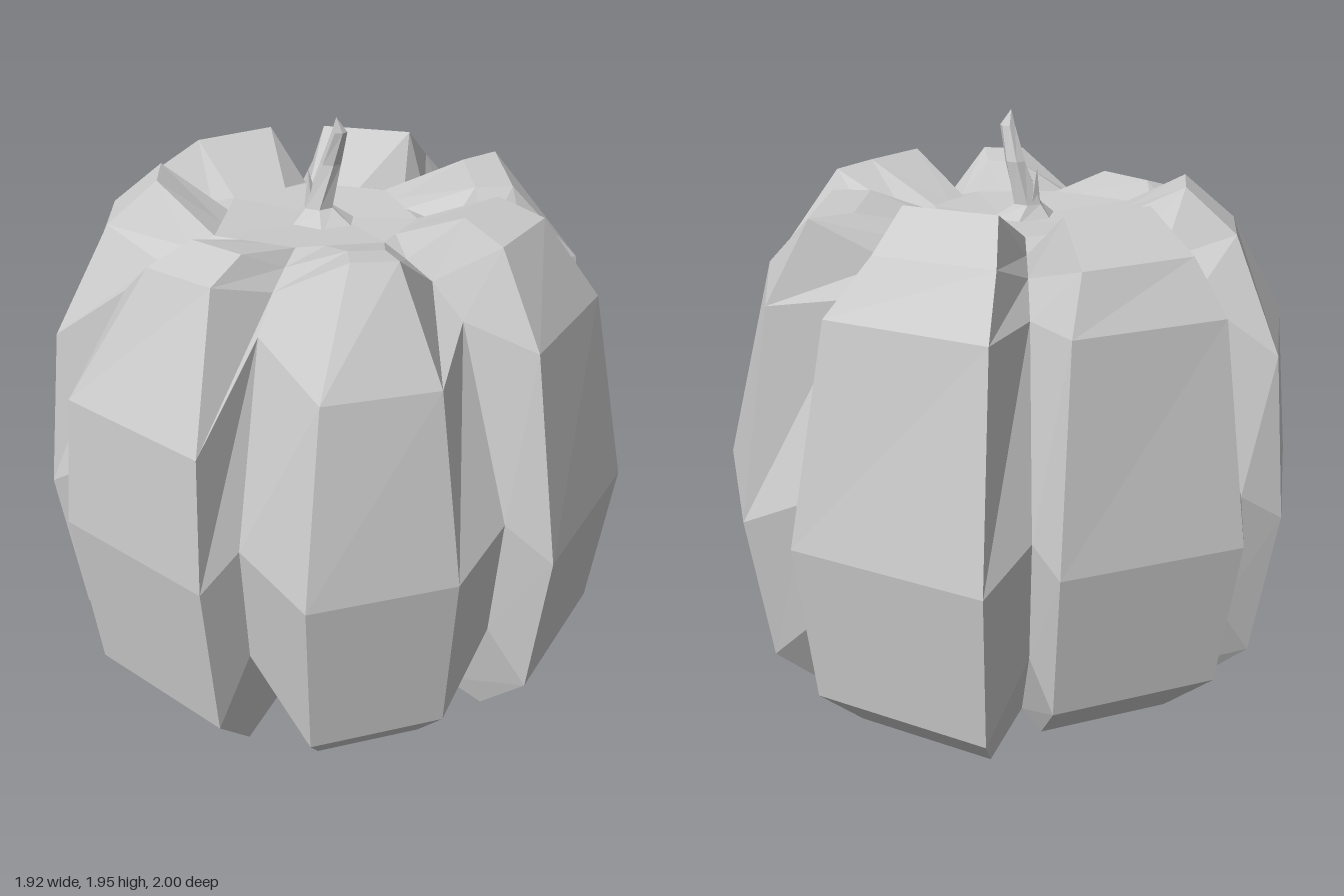
import * as THREE from 'three';

const material = new THREE.MeshStandardMaterial({ color: 0xcccccc, flatShading: true });

// One entry per lobe, counter-clockwise from the front. Pairs are [x, z].
// belly: widest ridge points, crest: upper edge, groove / inner: valley after the lobe,
// y: heights of shoulder, crest and rim
const lobes = [
  { belly: [[-0.05, 1.0], [0.4, 0.83]], crest: [[0.06, 0.65], [0.2, 0.63]], groove: [0.54, 0.64], inner: [0.15, 0.27], y: [1.36, 1.7, 1.68] },
  { belly: [[0.69, 0.7], [0.96, 0.12]], crest: [[0.5, 0.48], [0.64, 0.22]], groove: [0.84, 0.03], inner: [0.25, 0.05], y: [1.41, 1.69, 1.74] },
  { belly: [[0.96, -0.13], [0.72, -0.66]], crest: [[0.56, -0.08], [0.52, -0.46]], groove: [0.5, -0.68], inner: [0.14, -0.23], y: [1.44, 1.69, 1.69] },
  { belly: [[0.51, -0.81], [-0.13, -1.0]], crest: [[0.28, -0.61], [-0.11, -0.69]], groove: [-0.24, -0.82], inner: [-0.12, -0.29], y: [1.46, 1.63, 1.75] },
  { belly: [[-0.33, -0.85], [-0.85, -0.53]], crest: [[-0.35, -0.66], [-0.65, -0.44]], groove: [-0.83, -0.38], inner: [-0.36, -0.12], y: [1.46, 1.63, 1.75] },
  { belly: [[-0.96, -0.3], [-0.96, 0.27]], crest: [[-0.76, -0.1], [-0.74, 0.13]], groove: [-0.83, 0.36], inner: [-0.38, 0.24], y: [1.27, 1.61, 1.75] },
  { belly: [[-0.85, 0.53], [-0.37, 0.92]], crest: [[-0.55, 0.49], [-0.34, 0.64]], groove: [-0.26, 0.83], inner: [-0.12, 0.33], y: [1.18, 1.61, 1.66] },
];

const mix = (a, b, t) => [a[0] + (b[0] - a[0]) * t, a[1] + (b[1] - a[1]) * t];
const at = ([x, z], scale, y) => new THREE.Vector3(x * scale, y, z * scale);

// Closed faceted skin over columns of points that run from bottom to top
function skin(columns) {
  const positions = [];
  const triangle = (a, b, c) => {
    const area = b.clone().sub(a).cross(c.clone().sub(a)).length();
    if (area > 1e-7) for (const p of [a, b, c]) positions.push(p.x, p.y, p.z);
  };
  columns.forEach((left, i) => {
    const right = columns[(i + 1) % columns.length];
    for (let j = 0; j < left.length - 1; j++) {
      triangle(left[j], right[j], right[j + 1]);
      triangle(left[j], right[j + 1], left[j + 1]);
    }
  });
  const geometry = new THREE.BufferGeometry();
  geometry.setAttribute('position', new THREE.Float32BufferAttribute(positions, 3));
  geometry.computeVertexNormals();
  return geometry;
}

function ridgeColumn(belly, crest, inner, foot, [shoulderY, crestY, rimY]) {
  // a lower shoulder lies closer to the belly
  const shoulder = mix(crest, belly, 0.6 + (1.41 - shoulderY) * 1.2);
  return [
    at([0, 0], 1, 0.22),
    at(belly, 0.28, 0.14),
    at(belly, 0.73, foot),
    at(belly, 0.92, foot + 0.18),
    at(belly, 1, 0.74),
    at(shoulder, 1, shoulderY),
    at(crest, 1, crestY),
    at(crest, 0.78, rimY),
    at(inner, 1, 1.62),
    at([0, 0], 1, 1.6),
  ];
}

function grooveColumn({ groove, inner }) {
  return [
    at([0, 0], 1, 0.22),
    at(groove, 0.28, 0.15),
    at(groove, 0.7, 0.1),
    at(groove, 0.94, 0.42),
    at(groove, 1, 0.84),
    at(mix(inner, groove, 0.62), 1, 1.46),
    at(mix(inner, groove, 0.38), 1, 1.55),
    at(mix(inner, groove, 0.18), 1, 1.59),
    at(inner, 1, 1.62),
    at([0, 0], 1, 1.6),
  ];
}

function createBody() {
  const columns = [];
  lobes.forEach((lobe, i) => {
    const before = lobes[(i + lobes.length - 1) % lobes.length].inner;
    const foot = i % 3 ? 0.05 : 0; // every third lobe reaches the ground
    lobe.belly.forEach((belly, k) => {
      const inner = mix(before, lobe.inner, (k + 1) / 3);
      columns.push(ridgeColumn(belly, lobe.crest[k], inner, foot, lobe.y));
    });
    columns.push(grooveColumn(lobe));
  });
  return new THREE.Mesh(skin(columns), material);
}

function createStem() {
  // rings: centre x, y, z and radius
  const rings = [
    [-0.05, 1.59, 0.05, 0.13],
    [-0.07, 1.65, 0.03, 0.05],
    [-0.03, 1.79, 0.02, 0.035],
    [0, 1.9, 0.045, 0.025],
    [-0.01, 1.95, 0.055, 0],
  ];
  const sides = 6;
  const columns = Array.from({ length: sides }, (_, i) =>
    rings.map(([x, y, z, r], j) => {
      const angle = (i / sides) * Math.PI * 2 + j * 0.15;
      return new THREE.Vector3(x + Math.sin(angle) * r, y, z + Math.cos(angle) * r * 0.9);
    }));
  return new THREE.Mesh(skin(columns), material);
}

export function createModel() {
  const model = new THREE.Group();
  model.name = 'pumpkin';

  const body = createBody();
  body.name = 'ribbedBody';

  const stem = createStem();
  stem.name = 'stem';

  // Short pointed sprout at the foot of the stem
  const sprout = new THREE.Mesh(new THREE.ConeGeometry(0.03, 0.15, 4), material);
  sprout.name = 'stemSprout';
  sprout.position.set(-0.095, 1.695, 0.02);
  sprout.rotation.z = 0.1;

  model.add(body, stem, sprout);
  return model;
}
